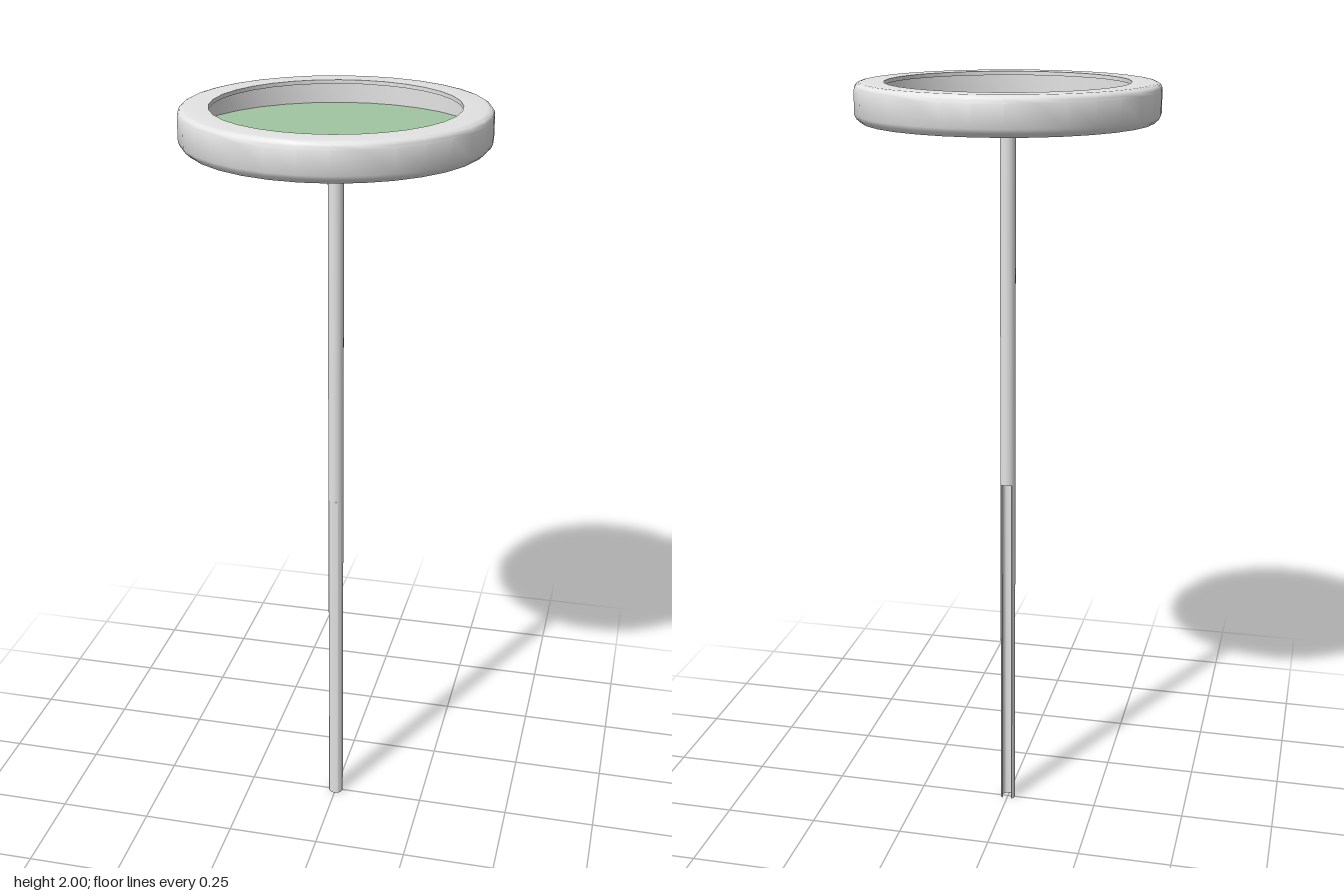
import * as THREE from 'three';
import { toCreasedNormals } from 'three/addons/utils/BufferGeometryUtils.js';

export function createModel() {
  const group = new THREE.Group();
  const grey = new THREE.MeshStandardMaterial({ color: 0xe3e3e3 });
  grey.name = 'light grey';
  const green = new THREE.MeshStandardMaterial({ color: 0xa1c5a1 });
  green.name = 'soft green';

  const add = (name, geometry, material) => {
    const mesh = new THREE.Mesh(geometry, material);
    mesh.name = name;
    group.add(mesh);
    return mesh;
  };

  // Round tray: rounded shell with a thin lip overhanging a wider cavity
  const R = 0.38, hole = 0.305, cavity = 0.365, base = 1.905, top = 2, floor = 1.93;
  const bevel = 0.018, lip = 0.01;
  const profile = [[0, base], [0.364, base], [0.375, base + 0.01], [R, base + 0.02]];
  for (let i = 0; i <= 4; i++) {
    const a = (i / 4) * Math.PI / 2;
    profile.push([R - bevel + bevel * Math.cos(a), top - bevel + bevel * Math.sin(a)]);
  }
  profile.push([hole, top], [hole, top - lip], [cavity, top - lip], [cavity, floor]);
  const shell = new THREE.LatheGeometry(profile.map(([x, y]) => new THREE.Vector2(x, y)), 32);
  add('trayShell', toCreasedNormals(shell, 0.6), grey);

  // Green floor of the cavity
  const disc = new THREE.CircleGeometry(cavity, 32);
  disc.rotateX(-Math.PI / 2);
  add('trayFloor', disc, green).position.y = floor;

  // Solid upper half of the pole
  const r = 0.02, split = 0.95;
  const upper = new THREE.CylinderGeometry(r, r, base - split, 24);
  add('upperPole', upper, grey).position.y = (base + split) / 2;

  // Lower half of the pole: a thin-walled channel open to the back
  const bore = 0.016, opening = Math.PI / 4;
  const from = Math.PI / 2 + opening, to = Math.PI * 2.5 - opening;
  const section = new THREE.Shape();
  section.absarc(0, 0, r, from, to, false);
  section.absarc(0, 0, bore, to, from, true);
  section.closePath();
  const lower = new THREE.ExtrudeGeometry(section, { depth: split, bevelEnabled: false, curveSegments: 20 });
  lower.rotateX(-Math.PI / 2);
  add('channelLowerPole', toCreasedNormals(lower, 0.6), grey);

  return group;
}
